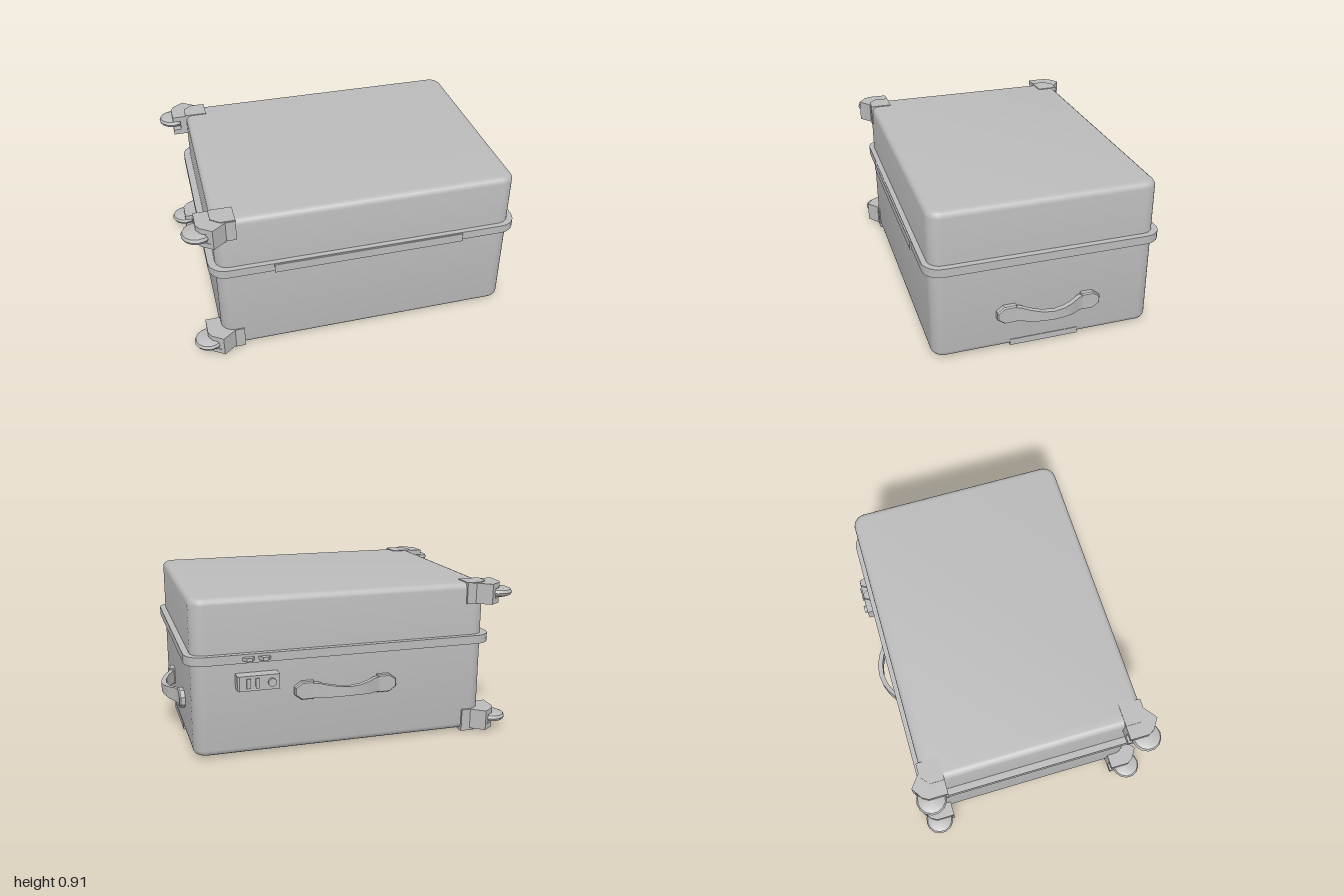
import * as THREE from 'three';
import { toCreasedNormals } from 'three/addons/utils/BufferGeometryUtils.js';

const shellGrey = new THREE.MeshStandardMaterial({ color: 0xbbbbbb });
shellGrey.name = 'shell grey';

function add(parent, name, geometry, x = 0, y = 0, z = 0) {
  const mesh = new THREE.Mesh(geometry, shellGrey);
  mesh.name = name;
  mesh.position.set(x, y, z);
  parent.add(mesh);
  return mesh;
}

// Rectangle with rounded corners, drawn in plan (shape y = -z)
function roundedPlan(x0, x1, z0, z1, r) {
  const s = new THREE.Shape();
  s.absarc(x1 - r, -z0 - r, r, 0, Math.PI / 2, false);
  s.absarc(x0 + r, -z0 - r, r, Math.PI / 2, Math.PI, false);
  s.absarc(x0 + r, -z1 + r, r, Math.PI, Math.PI * 1.5, false);
  s.absarc(x1 - r, -z1 + r, r, Math.PI * 1.5, Math.PI * 2, false);
  return s;
}

const planShape = (pts) => new THREE.Shape(pts.map(([x, z]) => new THREE.Vector2(x, -z)));

// Upright prism from a plan shape
function prism(shape, y0, y1, options = {}) {
  const g = new THREE.ExtrudeGeometry(shape, { depth: y1 - y0, bevelEnabled: false, ...options });
  return g.rotateX(-Math.PI / 2).translate(0, y0, 0);
}

// Flat-sided strap of rectangular section: stations are [u, outer height, half width]
function strap(stations, thickness) {
  const pos = [], idx = [], n = stations.length;
  for (const [u, h, w] of stations) {
    pos.push(u, -w, h - thickness, u, w, h - thickness, u, w, h, u, -w, h);
  }
  for (let i = 0; i < n - 1; i++) {
    for (let k = 0; k < 4; k++) {
      const a = i * 4 + k, b = i * 4 + (k + 1) % 4;
      idx.push(a, b, b + 4, a, b + 4, a + 4);
    }
  }
  // End caps
  const e = (n - 1) * 4;
  idx.push(0, 2, 1, 0, 3, 2, e, e + 1, e + 2, e, e + 2, e + 3);
  const g = new THREE.BufferGeometry();
  g.setAttribute('position', new THREE.Float32BufferAttribute(pos, 3));
  g.setIndex(idx);
  // Wind the faces outward
  for (let i = 0; i < idx.length; i += 3) {
    if (i < (n - 1) * 24) [idx[i + 1], idx[i + 2]] = [idx[i + 2], idx[i + 1]];
    else [idx[i + 1], idx[i + 2]] = [idx[i + 2], idx[i + 1]];
  }
  g.setIndex(orient(pos, idx));
  const flat = g.toNonIndexed();
  flat.computeVertexNormals();
  return toCreasedNormals(flat, 0.5);
}

// Reverses all faces if the enclosed volume comes out negative
function orient(pos, idx) {
  const p = (i) => new THREE.Vector3().fromArray(pos, i * 3);
  let volume = 0;
  for (let i = 0; i < idx.length; i += 3) {
    volume += p(idx[i]).dot(p(idx[i + 1]).cross(p(idx[i + 2])));
  }
  return volume < 0 ? idx.slice().reverse() : idx;
}

// Carry handle: arched waisted grip between two end plates, facing local +z
function makeHandle(name) {
  const g = new THREE.Group();
  g.name = name;
  const half = [[0.205, 0.03, 0.042], [0.165, 0.045, 0.042], [0.125, 0.072, 0.037], [0.065, 0.096, 0.03]];
  const stations = [...half.map(([u, h, w]) => [-u, h, w]), [0, 0.105, 0.026], ...half.slice().reverse()];
  add(g, 'handleGrip', strap(stations, 0.03));
  for (const s of [-1, 1]) {
    const pts = [[0.19, -0.052], [0.26, -0.052], [0.3, -0.022], [0.3, 0.022], [0.26, 0.052], [0.19, 0.052]];
    const shape = new THREE.Shape(pts.map(([u, v]) => new THREE.Vector2(u * s, v)));
    add(g, 'handleEndPlate', new THREE.ExtrudeGeometry(shape, {
      depth: 0.025, bevelEnabled: true, bevelSize: 0.006, bevelOffset: -0.006, bevelThickness: 0.008, bevelSegments: 1,
    }));
  }
  return g;
}

// Corner bracket with a flat-lying wheel; s = +1 front, -1 back
function makeCaster(s, top) {
  const g = new THREE.Group();
  g.name = (s > 0 ? 'front' : 'back') + (top ? 'Upper' : 'Lower') + 'Wheel';
  const y0 = top ? 0.785 : 0.015, y1 = y0 + 0.12;
  const plan = (pts) => planShape(pts.map(([x, z]) => [x, 0.012 + s * z]));
  const core = [[-0.71, 0.525], [-0.71, 0.655], [-0.765, 0.655], [-0.84, 0.712], [-0.875, 0.68], [-0.875, 0.525]];
  add(g, 'cornerBracket', prism(plan(core), y0, y1));
  const prong = [[-0.84, 0.525], [-0.84, 0.71], [-0.9, 0.67], [-0.92, 0.635], [-0.92, 0.525]];
  for (const y of [y0, y1 - 0.032]) add(g, 'wheelFork', prism(plan(prong), y, y + 0.032));
  const lip = [[-0.84, 0.525], [-0.71, 0.525], [-0.71, 0.65], [-0.79, 0.65], [-0.84, 0.61]];
  add(g, 'cornerLip', prism(plan(lip), top ? 0.9 : 0, top ? 0.91 : 0.016));
  const profile = [[0, -0.025], [0.055, -0.025], [0.077, -0.016], [0.085, 0], [0.077, 0.016], [0.055, 0.025], [0, 0.025]];
  const wheel = new THREE.LatheGeometry(profile.map(([r, y]) => new THREE.Vector2(r, y)), 14);
  add(g, 'wheel', toCreasedNormals(wheel, 0.7), -0.915, (y0 + y1) / 2, 0.015 + s * 0.625);
  return g;
}

export function createModel() {
  const model = new THREE.Group();
  model.name = 'suitcase';

  // Rounded shell
  const b = 0.035;
  const shell = prism(roundedPlan(-0.835, 0.89, -0.63, 0.66, 0.075), 0.012 + b, 0.905 - b, {
    bevelEnabled: true, bevelSize: b, bevelOffset: -b, bevelThickness: b, bevelSegments: 4, curveSegments: 6,
  });
  add(model, 'shell', toCreasedNormals(shell, 0.7));

  // Seam band with a slightly raised stretch at the front
  add(model, 'seamBand', prism(roundedPlan(-0.875, 0.925, -0.663, 0.69, 0.1), 0.548, 0.598, { curveSegments: 3 }));
  add(model, 'frontBandPlate', new THREE.BoxGeometry(1.1, 0.052, 0.03), 0.03, 0.568, 0.684);

  // Wheels on the left-hand end
  for (const s of [-1, 1]) for (const top of [false, true]) model.add(makeCaster(s, top));

  // Side and back handles
  const side = makeHandle('sideHandle');
  side.position.set(0.89, 0.236, 0);
  side.rotation.y = Math.PI / 2;
  const back = makeHandle('backHandle');
  back.position.set(0.025, 0.357, -0.63);
  back.rotation.y = Math.PI;
  model.add(side, back);

  // Combination lock: housing, dials and a round button
  const lock = new THREE.Group();
  lock.name = 'lock';
  const body = planShape([[0.42, -0.62], [0.42, -0.7], [0.645, -0.7], [0.655, -0.69], [0.655, -0.62]]);
  add(lock, 'lockHousing', prism(body, 0.4, 0.485));
  for (const x of [0.545, 0.595]) add(lock, 'lockDial', new THREE.BoxGeometry(0.022, 0.055, 0.014), x, 0.443, -0.702);
  const button = new THREE.CylinderGeometry(0.023, 0.023, 0.02, 12).rotateX(Math.PI / 2);
  add(lock, 'lockButton', button, 0.465, 0.443, -0.706);
  model.add(lock);

  // Zip pulls on the seam above the lock
  for (const s of [-1, 1]) {
    const pull = planShape([[0.54 + s * 0.01, -0.66], [0.54 + s * 0.03, -0.695], [0.54 + s * 0.06, -0.695], [0.54 + s * 0.08, -0.66]]);
    add(model, 'zipPull', prism(pull, 0.563, 0.583));
  }

  // Resting strip low on the right-hand end
  add(model, 'footStrip', new THREE.BoxGeometry(0.025, 0.037, 0.4), 0.881, 0.033, 0.02);

  return model;
}
